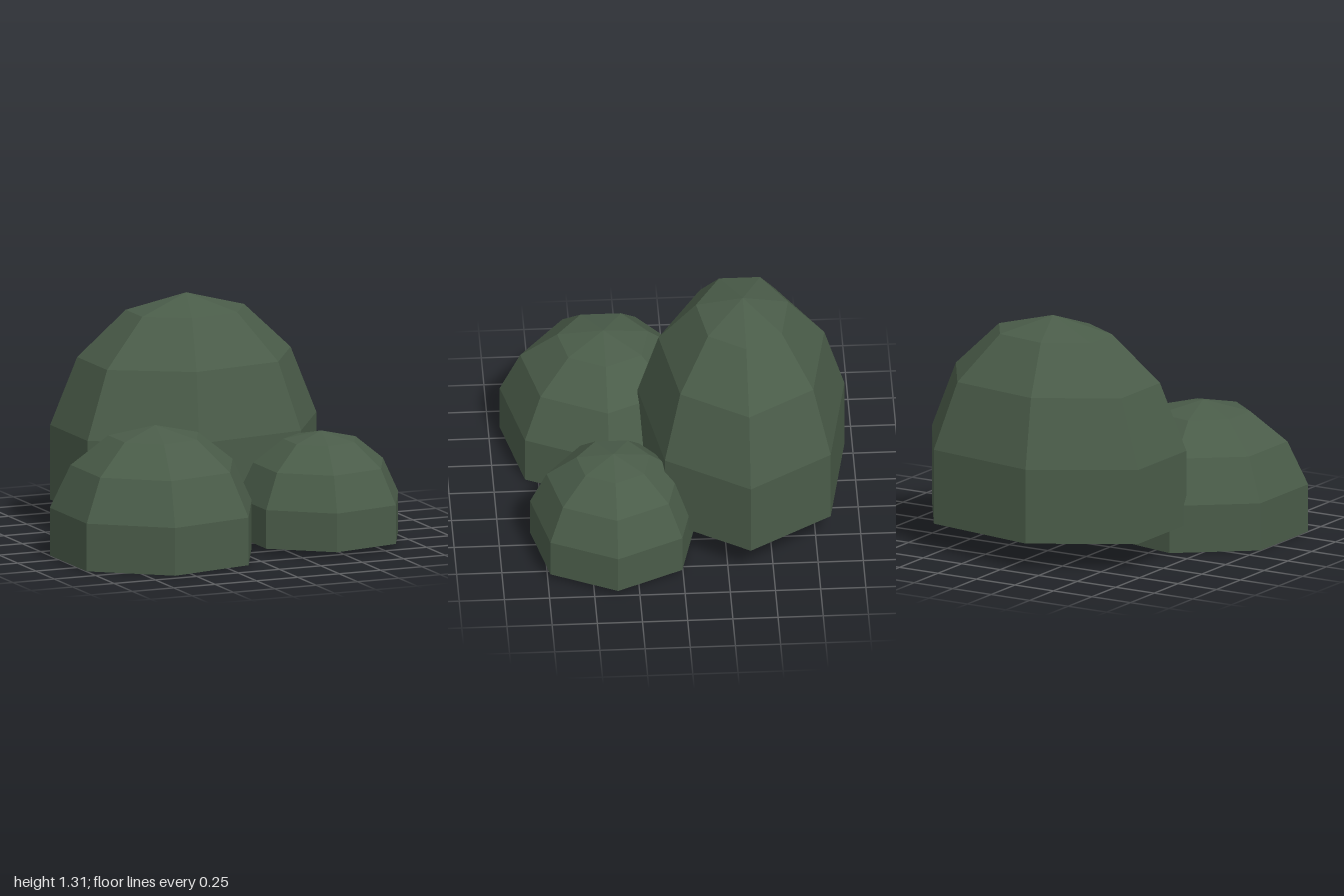
import * as THREE from 'three';

const SIDES = 7;

// Seven-sided dome: the upper four bands of a unit sphere, closed by a flat base
function domeGeometry() {
  const step = Math.PI / SIDES;
  const profile = [new THREE.Vector2(0, Math.cos(4 * step))];
  for (let i = 4; i > 0; i--) {
    profile.push(new THREE.Vector2(Math.sin(i * step), Math.cos(i * step)));
  }
  profile.push(new THREE.Vector2(0, 1));
  // a corner points towards +x
  return new THREE.LatheGeometry(profile, SIDES, Math.PI / 2);
}

export function createModel() {
  const group = new THREE.Group();
  group.name = 'bushCluster';
  const material = new THREE.MeshStandardMaterial({ color: 0x4a5c49, flatShading: true });
  const geometry = domeGeometry();

  // name, centre, radii
  const bushes = [
    ['largeBackBush', [0.045, 0.364, -0.373], [0.807, 0.946, 0.602]],
    ['mediumRightBush', [-0.472, 0.134, 0.37], [0.598, 0.603, 0.595]],
    ['smallLeftBush', [0.53, 0.139, 0.37], [0.479, 0.488, 0.46]],
  ];
  bushes[2][2][2] = bushes[2][2][0]; // the small bush is round in plan

  for (const [name, centre, radii] of bushes) {
    const bush = new THREE.Mesh(geometry, material);
    bush.name = name;
    bush.position.set(...centre);
    bush.scale.set(...radii);
    group.add(bush);
  }
  return group;
}
